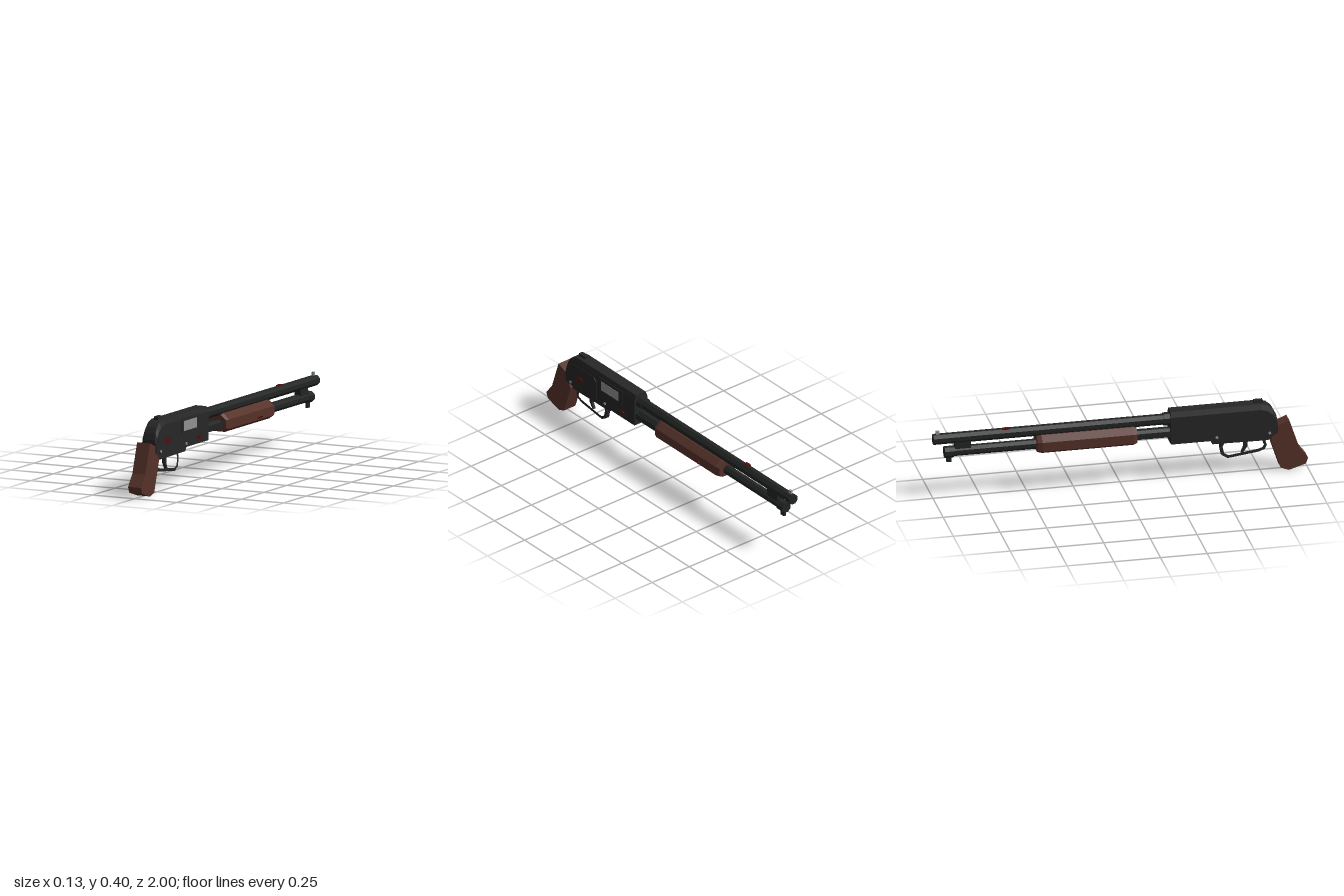
import * as THREE from 'three';

const mat = (name, color, side = THREE.FrontSide) => {
  const m = new THREE.MeshStandardMaterial({ color, side, flatShading: true });
  m.name = name;
  return m;
};

export function createModel() {
  const model = new THREE.Group();
  model.name = 'pumpActionModel';
  const steel = mat('dark steel', 0x272727);
  const gunmetal = mat('barrel gunmetal', 0x222424);
  const wood = mat('brown wood', 0x56322a);
  const silver = mat('bright bolt steel', 0x919194);
  const red = mat('dark red', 0x580c0c, THREE.DoubleSide);

  const add = (name, geometry, material) => {
    const mesh = new THREE.Mesh(geometry, material);
    mesh.name = name;
    model.add(mesh);
    return mesh;
  };
  const box = (name, w, h, d, x, y, z, material) =>
    add(name, new THREE.BoxGeometry(w, h, d).translate(x, y, z), material);

  // Octagonal rod along z with a flat on top
  const rod = (name, r, z0, z1, y, material) =>
    add(name, new THREE.CylinderGeometry(r, r, Math.abs(z1 - z0), 8)
      .rotateY(Math.PI / 8).rotateX(Math.PI / 2).translate(0, y, (z0 + z1) / 2), material);

  // Side outline in (z, y), extruded across x
  const toShape = pts => new THREE.Shape(pts.map(p => new THREE.Vector2(...p)));
  const slab = (name, pts, width, x, material, hole) => {
    const shape = toShape(pts);
    if (hole) shape.holes.push(toShape(hole));
    const g = new THREE.ExtrudeGeometry(shape, { depth: width, bevelEnabled: false });
    return add(name, g.translate(0, 0, -width / 2).rotateY(-Math.PI / 2).translate(x, 0, 0), material);
  };

  // Skin over counter-clockwise (x, y) sections placed at increasing z
  const loft = (name, stations, material) => {
    const v = [];
    const tri = (...ps) => ps.forEach(p => v.push(...p));
    const rings = stations.map(([z, pts]) => pts.map(([x, y]) => [x, y, z]));
    const n = rings[0].length;
    for (let s = 0; s < rings.length - 1; s++) {
      const a = rings[s], b = rings[s + 1];
      for (let i = 0; i < n; i++) {
        const j = (i + 1) % n;
        tri(a[i], a[j], b[j]);
        tri(a[i], b[j], b[i]);
      }
    }
    const first = rings[0], last = rings[rings.length - 1];
    for (let i = 1; i < n - 1; i++) {
      tri(first[0], first[i + 1], first[i]);
      tri(last[0], last[i], last[i + 1]);
    }
    const g = new THREE.BufferGeometry();
    g.setAttribute('position', new THREE.Float32BufferAttribute(v, 3));
    g.computeVertexNormals();
    return add(name, g, material);
  };

  // Receiver with chamfered top and rounded rear
  const body = (bottom, top) => [
    [-0.043, bottom], [0.043, bottom], [0.043, top - 0.028],
    [0.032, top], [-0.032, top], [-0.043, top - 0.028],
  ];
  loft('receiver', [
    [0.265, body(0.208, 0.388)], [0.75, body(0.208, 0.388)], [0.785, body(0.208, 0.378)],
    [0.812, body(0.21, 0.355)], [0.829, body(0.215, 0.325)], [0.838, body(0.222, 0.29)],
  ], steel);
  slab('triggerPlate', [[0.475, 0.21], [0.49, 0.182], [0.79, 0.178], [0.82, 0.215]], 0.056, 0, steel);
  box('rearSight', 0.024, 0.02, 0.048, 0, 0.393, 0.739, steel);

  // Side plates and pins on both sides
  for (const s of [-1, 1]) {
    slab('sidePlate', [[0.58, 0.215], [0.81, 0.215], [0.815, 0.31], [0.78, 0.345],
      [0.6, 0.345], [0.58, 0.325]], 0.003, s * 0.0435, steel);
    for (const z of [0.51, 0.793]) {
      add('pin', new THREE.CylinderGeometry(0.008, 0.008, 0.006, 8)
        .rotateZ(Math.PI / 2).translate(s * 0.045, 0.226, z), silver);
    }
    box('actionBar', 0.005, 0.03, 0.24, s * 0.034, 0.263, 0.16, gunmetal);
  }

  // Ejection port on the +x side
  box('portFrame', 0.003, 0.085, 0.2, 0.0435, 0.323, 0.46, steel);
  box('ejectionPort', 0.004, 0.053, 0.145, 0.0445, 0.323, 0.466, silver);

  // Barrel and magazine tube
  rod('barrel', 0.029, -1, 0.27, 0.339, gunmetal);
  rod('barrelCollar', 0.035, 0.23, 0.27, 0.339, gunmetal);
  rod('magazineTube', 0.027, -0.9, 0.27, 0.263, gunmetal);
  rod('magazineCap', 0.031, -0.94, -0.892, 0.261, gunmetal);
  box('barrelClamp', 0.036, 0.06, 0.085, 0, 0.3, -0.843, gunmetal);
  box('slingLug', 0.014, 0.03, 0.027, 0, 0.22, -0.915, gunmetal);
  box('frontSight', 0.012, 0.022, 0.018, 0, 0.374, -0.975, silver);

  // Pump grip with tapered ends
  const pump = k => [
    [-0.034, 0.222], [0.034, 0.222], [0.06, 0.24], [0.06, 0.29],
    [0.026, 0.32], [-0.026, 0.32], [-0.06, 0.29], [-0.06, 0.24],
  ].map(([x, y]) => [x * k, 0.27 + (y - 0.27) * k]);
  loft('pumpGrip', [[-0.45, pump(0.86)], [-0.425, pump(1)], [0.065, pump(1)], [0.085, pump(0.86)]], wood);

  // Pistol grip
  slab('pistolGrip', [[0.9, 0.284], [0.835, 0.258], [0.8, 0.18], [0.854, 0.018], [0.897, 0.002],
    [0.988, 0.03], [1, 0.062], [0.953, 0.125]], 0.077, 0, wood);

  // Trigger guard and trigger
  slab('triggerGuard',
    [[0.77, 0.19], [0.785, 0.145], [0.775, 0.123], [0.745, 0.11], [0.575, 0.088],
      [0.542, 0.108], [0.532, 0.155], [0.545, 0.19]], 0.022, 0, steel,
    [[0.757, 0.183], [0.769, 0.147], [0.762, 0.134], [0.74, 0.126], [0.58, 0.104],
      [0.557, 0.117], [0.548, 0.155], [0.562, 0.183]]);
  slab('trigger', [[0.685, 0.19], [0.682, 0.145], [0.66, 0.112], [0.648, 0.112],
    [0.662, 0.145], [0.66, 0.19]], 0.014, 0, steel);

  // Small irregular red paint chips
  const chip = [[-0.026, -0.012], [0.004, -0.015], [0.026, -0.008], [0.022, 0.01], [-0.01, 0.015], [-0.026, 0.008]];
  const splat = (x, y, z, k, tilt = 0) => {
    const m = slab('redMark', chip.map(([a, b]) => [a * k, b * k]), 0.006, 0, red);
    m.position.set(x, y, z);
    m.rotation.z = tilt;
  };
  splat(0.045, 0.274, 0.72, 1);
  splat(0.044, 0.24, 0.367, 0.7);
  splat(0.056, 0.246, -0.275, 1.1, -0.5);
  splat(-0.006, 0.367, -0.61, 0.8, Math.PI / 2);

  return model;
}
